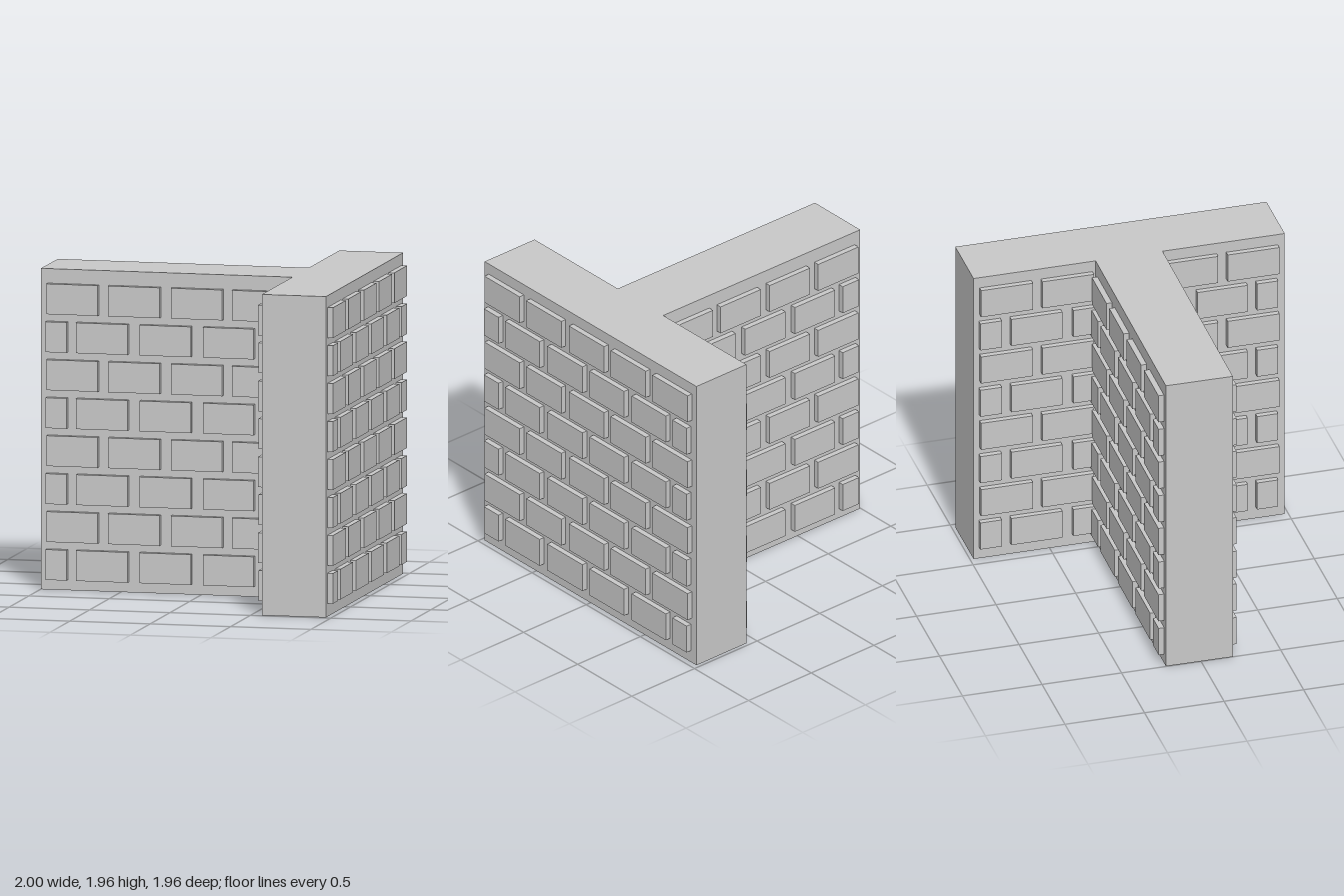
import * as THREE from 'three';

const stone = new THREE.MeshStandardMaterial({ color: 0xc8c8c8 });
stone.name = 'grey stone';

const HEIGHT = 1.957, PITCH = 0.2315, BRICK_H = 0.185, PROUD = 0.035, SUNK = 0.01;

// Horizontal spans of the bricks, for courses starting with a half and a full brick
const LONG_WALL = [
  [[-0.945, -0.81], [-0.75, -0.43], [-0.36, -0.035], [0.03, 0.35], [0.42, 0.735], [0.795, 0.927]],
  [[-0.94, -0.615], [-0.555, -0.23], [-0.16, 0.165], [0.225, 0.55], [0.61, 0.935]],
];
const SIDE_WALL = [
  [[-0.96, -0.83], [-0.77, -0.45], [-0.375, -0.055], [0.02, 0.335], [0.39, 0.57]],
  [[-0.955, -0.635], [-0.57, -0.25], [-0.18, 0.14], [0.2, 0.525]],
];

function box(name, x0, x1, y0, y1, z0, z1) {
  const mesh = new THREE.Mesh(new THREE.BoxGeometry(x1 - x0, y1 - y0, z1 - z0), stone);
  mesh.position.set((x0 + x1) / 2, (y0 + y1) / 2, (z0 + z1) / 2);
  mesh.name = name;
  return mesh;
}

// Eight courses of raised bricks; place() turns a span and a course into a box
function brickFace(name, courses, base, place) {
  const face = new THREE.Group();
  face.name = name;
  for (let row = 0; row < 8; row++) {
    const y = base + row * PITCH;
    for (const [a, b] of courses[row % 2]) face.add(place(a, b, y, y + BRICK_H));
  }
  return face;
}

export function createModel() {
  const model = new THREE.Group();
  model.name = 'wallJunction';

  // Long wall running front to back, bricked on both faces
  const longWall = new THREE.Group();
  longWall.name = 'longWall';
  longWall.add(box('longWallCore', 0.567, 0.965, 0, HEIGHT, -0.978, 0.978));
  longWall.add(brickFace('outerBricks', LONG_WALL, 0.08, (a, b, y0, y1) =>
    box('brick', 0.965 - SUNK, 0.965 + PROUD, y0, y1, -b, -a)));
  longWall.add(brickFace('innerBricks', LONG_WALL, 0.08, (a, b, y0, y1) =>
    box('brick', 0.567 - PROUD, 0.567 + SUNK, y0, y1, a, b)));
  model.add(longWall);

  // Side wall meeting it in the middle, very slightly askew
  const sideWall = new THREE.Group();
  sideWall.name = 'sideWall';
  sideWall.add(box('sideWallCore', -0.998, 0.57, 0, HEIGHT, -0.21, 0.21));
  sideWall.add(brickFace('frontBricks', SIDE_WALL, 0.063, (a, b, y0, y1) =>
    box('brick', a, b, y0, y1, 0.21 - SUNK, 0.21 + PROUD)));
  sideWall.add(brickFace('backBricks', SIDE_WALL, 0.063, (a, b, y0, y1) =>
    box('brick', a, b, y0, y1, -0.21 - PROUD, -0.21 + SUNK)));
  sideWall.rotation.y = -0.0064;
  sideWall.position.z = -0.004;
  model.add(sideWall);

  return model;
}
